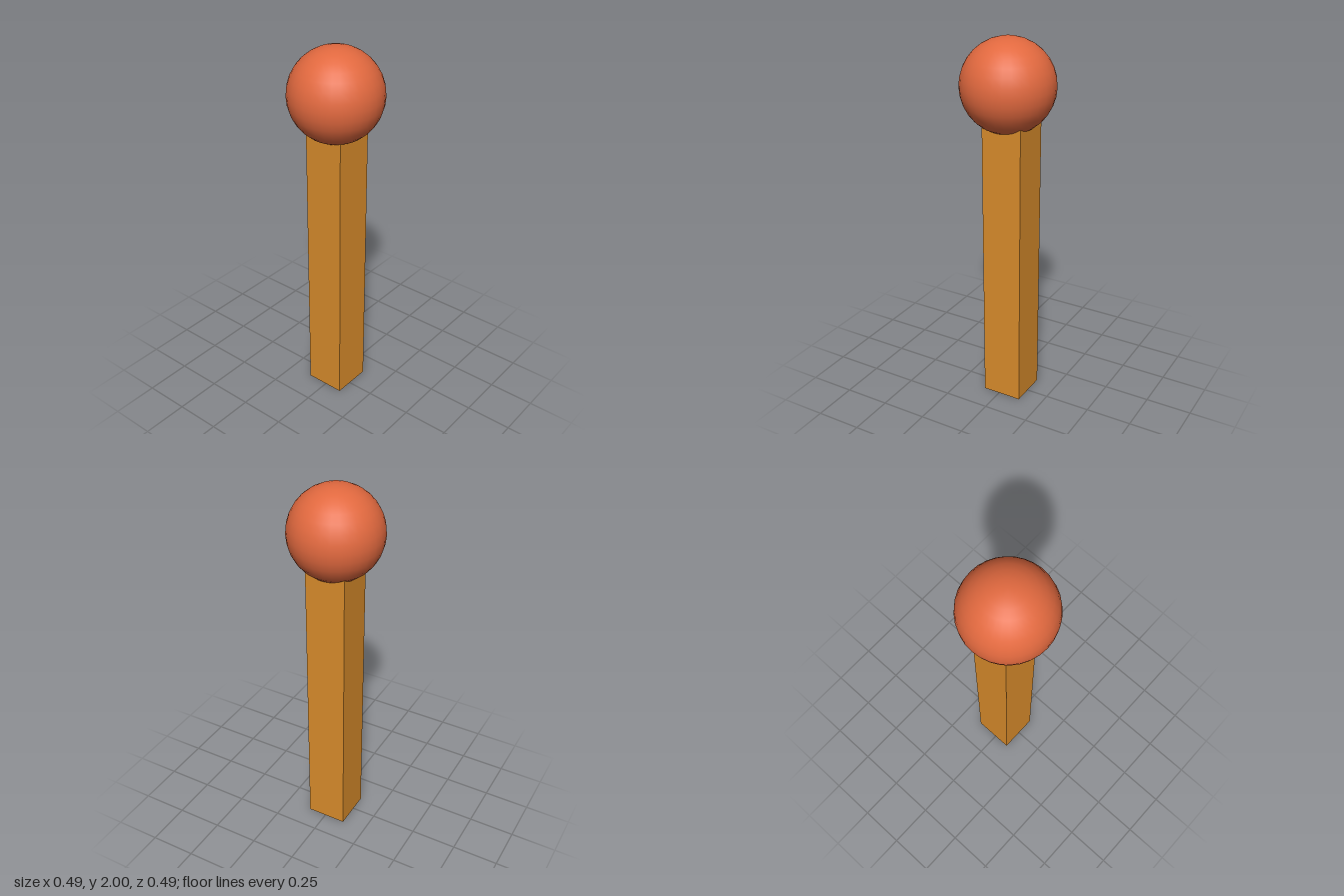
import * as THREE from 'three';

export function createModel() {
  const model = new THREE.Group();

  const addPart = (name, geometry, color, x, y, z) => {
    const mesh = new THREE.Mesh(geometry, new THREE.MeshStandardMaterial({ color }));
    mesh.name = name;
    mesh.position.set(x, y, z);
    model.add(mesh);
  };

  // Square stick, slightly off centre, its top end sunk into the head
  const stickHeight = 1.7;
  addPart('stick', new THREE.BoxGeometry(0.22, stickHeight, 0.218), 0xd98c2b, 0.017, stickHeight / 2, -0.007);

  // Round head
  const headRadius = 0.244;
  addPart('head', new THREE.SphereGeometry(headRadius, 32, 16), 0xe2693f, 0, 2 - headRadius, 0);

  return model;
}
